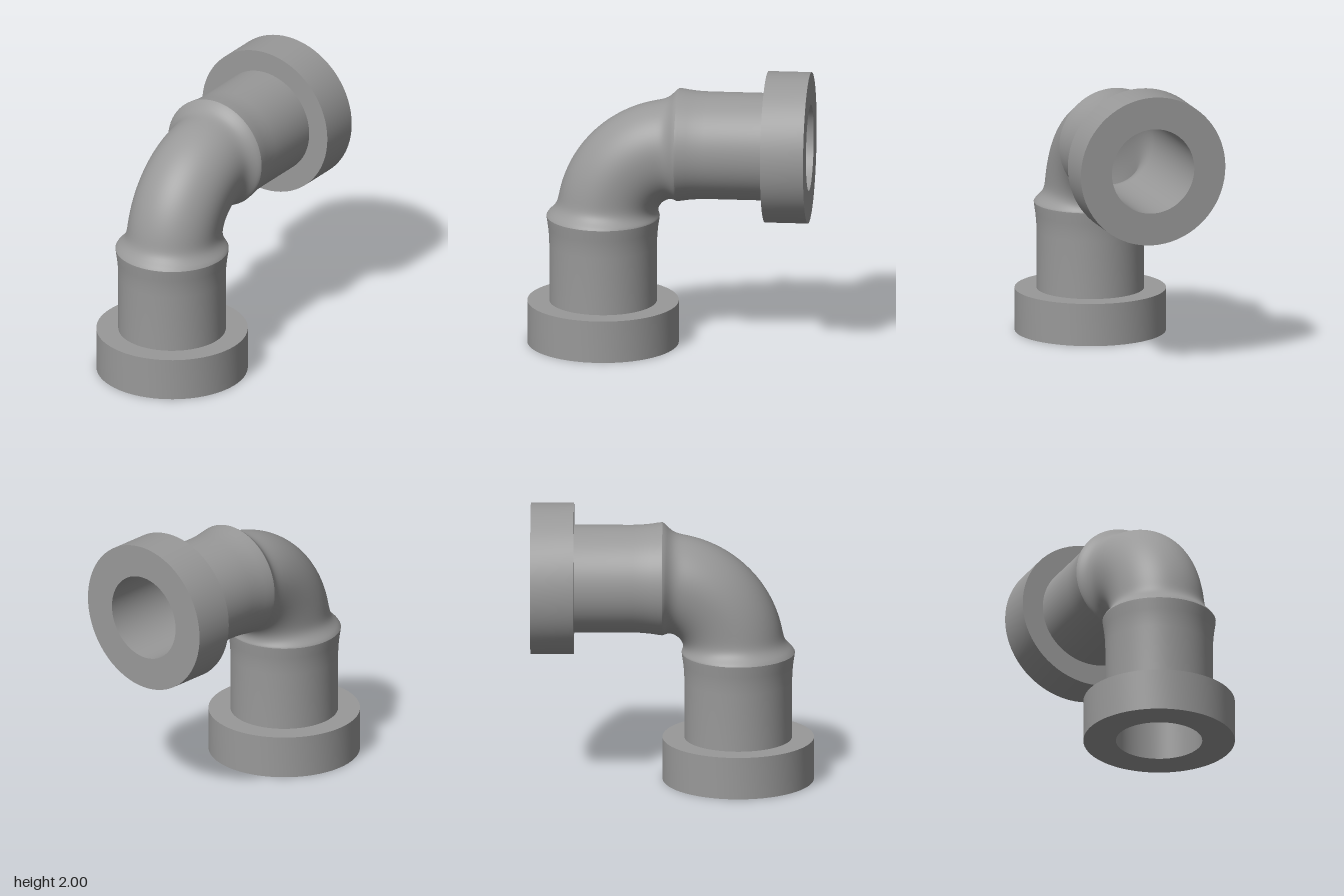
import * as THREE from 'three';
import { toCreasedNormals } from 'three/addons/utils/BufferGeometryUtils.js';

const AXIS = 0.465;   // offset of each leg's axis
const BEND = 0.535;   // radius of the bend, also the flange radius
const LEG = 0.93;     // length of a straight leg
const BORE = 0.305;
const SEGMENTS = 72;

// Quarter-circle tube whose radius depends on bend angle and angle around the tube
function bendGeometry(radiusAt, inward) {
  const steps = 80, positions = [], index = [];
  for (let i = 0; i <= steps; i++) {
    const phi = (i / steps) * Math.PI / 2;
    for (let j = 0; j < SEGMENTS; j++) {
      const theta = (j / SEGMENTS) * Math.PI * 2;
      const r = radiusAt(phi, theta);
      const d = BEND + r * Math.cos(theta);
      positions.push(r * Math.sin(theta), LEG + d * Math.sin(phi), AXIS - BEND + d * Math.cos(phi));
      if (i === steps) continue;
      const a = i * SEGMENTS + j, b = i * SEGMENTS + (j + 1) % SEGMENTS;
      const c = a + SEGMENTS, e = b + SEGMENTS;
      if (inward) index.push(a, c, b, b, c, e);
      else index.push(a, b, c, b, e, c);
    }
  }
  const geometry = new THREE.BufferGeometry();
  geometry.setAttribute('position', new THREE.Float32BufferAttribute(positions, 3));
  geometry.setIndex(index);
  geometry.computeVertexNormals();
  return geometry;
}

// Outer skin: flares out to meet the collars, fuller on the inside of the bend
function skinRadius(phi, theta) {
  const nearEnd = Math.min(phi, Math.PI / 2 - phi);
  const h = Math.sin(nearEnd) * (BEND + 0.33 * Math.cos(theta));
  const flare = Math.exp(-Math.pow(h / 0.055, 1.5));
  const inner = Math.pow(Math.max(0, -Math.cos(theta)), 2);
  const base = 0.325 + 0.05 * inner;
  return base + (0.4 - base) * flare;
}

export function createModel() {
  const model = new THREE.Group();
  model.name = 'pipeElbow';
  const grey = new THREE.MeshStandardMaterial({ color: 0x999999 });
  grey.name = 'grey';

  function add(parent, name, geometry) {
    const mesh = new THREE.Mesh(geometry, grey);
    mesh.name = name;
    parent.add(mesh);
  }

  const lathe = (points) => toCreasedNormals(
    new THREE.LatheGeometry(points.map(([r, y]) => new THREE.Vector2(r, y)), SEGMENTS), 0.5);

  // Flange with its bore, and the pipe flaring towards the bend
  const flange = lathe([[BORE, LEG], [BORE, 0], [BEND, 0], [BEND, 0.305], [0.375, 0.305]]);
  const pipe = lathe([[0.38, 0.3], [0.38, 0.72], [0.383, 0.79], [0.389, 0.85], [0.398, 0.91], [0.4, LEG]]);

  // The same leg stands upright and lies towards the back
  for (const name of ['lowerLeg', 'rearLeg']) {
    const leg = new THREE.Group();
    leg.name = name;
    add(leg, 'flange', flange);
    add(leg, 'pipe', pipe);
    if (name === 'lowerLeg') {
      leg.position.set(0, 0, AXIS);
    } else {
      leg.position.set(0, 2 - BEND, -1);
      leg.rotation.x = Math.PI / 2;
    }
    model.add(leg);
  }

  // Bend and its inside wall
  add(model, 'elbow', bendGeometry(skinRadius, false));
  add(model, 'elbowBore', bendGeometry(() => BORE, true));
  return model;
}
